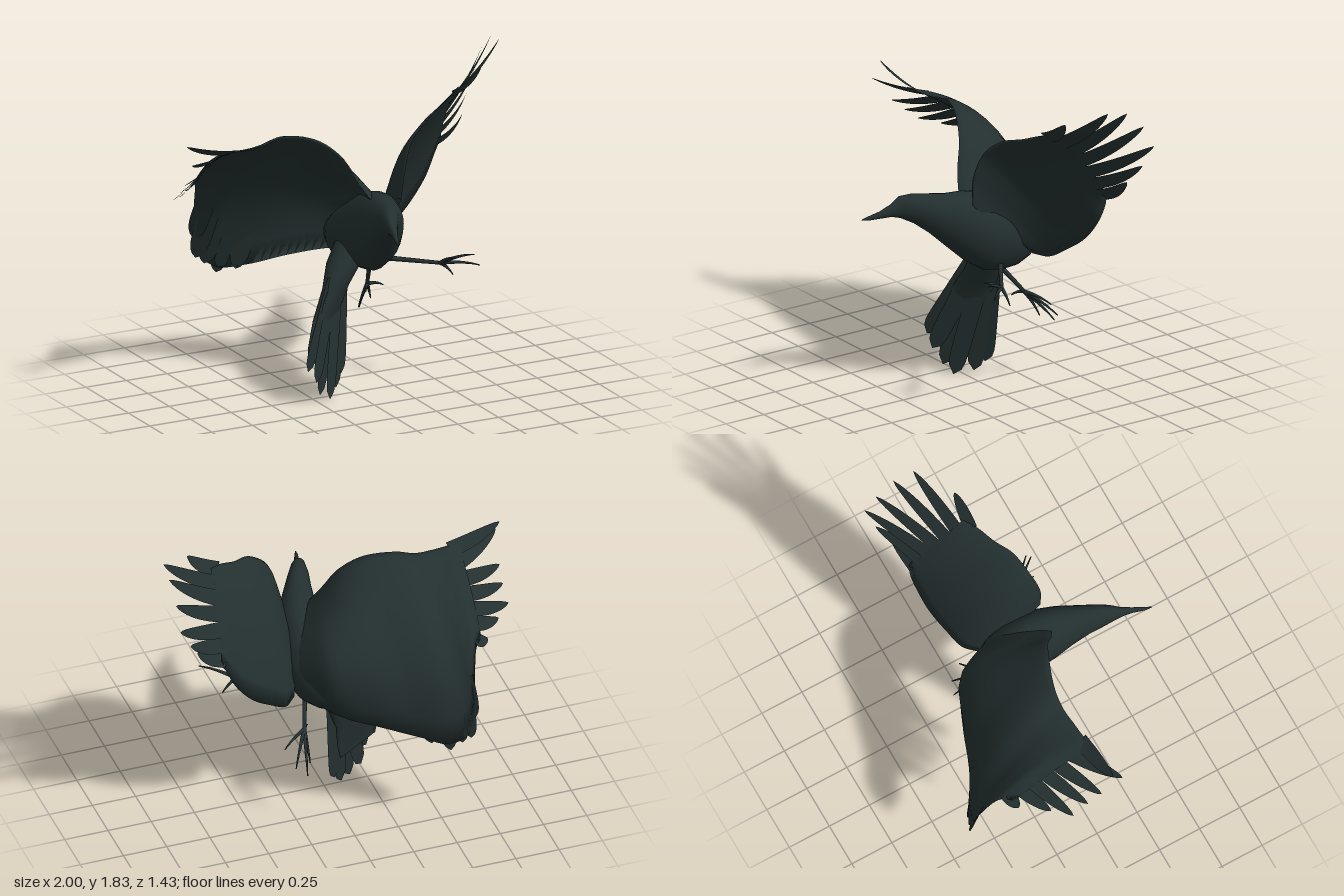
import * as THREE from 'three';

const V = (a) => new THREE.Vector3(...a);
const plumage = new THREE.MeshStandardMaterial({ color: 0x243030, side: THREE.DoubleSide });
plumage.name = 'dark plumage';

// Skin a list of rings (or open strips) of equal length
function loft(name, rings, closed = true) {
  const n = rings[0].length, index = [];
  const pos = rings.flatMap((r) => r.flatMap((p) => [p.x, p.y, p.z]));
  for (let i = 0; i < rings.length - 1; i++) {
    for (let j = 0; j < (closed ? n : n - 1); j++) {
      const a = i * n + j, b = i * n + (j + 1) % n;
      index.push(a, b, a + n, b, b + n, a + n);
    }
  }
  const g = new THREE.BufferGeometry();
  g.setAttribute('position', new THREE.Float32BufferAttribute(pos, 3));
  g.setIndex(index);
  g.computeVertexNormals();
  const m = new THREE.Mesh(g, plumage);
  m.name = name;
  return m;
}

// Elliptical ring around c with half axes a and b
function ring(c, a, b, n = 24) {
  return Array.from({ length: n }, (_, i) => {
    const t = (i / n) * Math.PI * 2;
    return c.clone().addScaledVector(a, Math.cos(t)).addScaledVector(b, Math.sin(t));
  });
}

// Flat curved blade, pointed or rounded at the tip
function feather(name, base, tip, width, across, bend, roundness) {
  const axis = tip.clone().sub(base).normalize();
  const side = across.clone().addScaledVector(axis, -across.dot(axis)).normalize();
  const mid = base.clone().lerp(tip, 0.55).add(bend);
  const curve = new THREE.QuadraticBezierCurve3(base, mid, tip);
  const rows = [];
  for (let i = 0; i <= 14; i++) {
    const t = i / 14, p = curve.getPoint(t);
    const w = width * Math.pow(Math.max(0, 1 - Math.pow(t, roundness)), 0.7) + 0.0005;
    rows.push([-1, 0, 1].map((s) => p.clone().addScaledVector(side, s * w)));
  }
  return loft(name, rows, false);
}

// Cambered wing; each station is [leading point, trailing point, camber]
function wing(name, stations, dorsalRoot, dorsalEnd, thickness, tips, bend, ragged) {
  const group = new THREE.Group();
  group.name = name;
  const lead = new THREE.CatmullRomCurve3(stations.map((s) => V(s[0])));
  const trail = new THREE.CatmullRomCurve3(stations.map((s) => V(s[1])));
  const at = (u, t, thick = 0) => {
    const k = u * (stations.length - 1), i = Math.min(Math.floor(k), stations.length - 2);
    const camber = THREE.MathUtils.lerp(stations[i][2], stations[i + 1][2], k - i);
    const d = V(dorsalRoot).lerp(V(dorsalEnd), Math.min(1, u * 2)).normalize();
    return lead.getPoint(u).lerp(trail.getPoint(u), t)
      .addScaledVector(d, camber * 4 * t * (1 - t) + thick * Math.sqrt(t) * (1 - t));
  };
  const rings = [], n = 12;
  for (let i = 0; i <= 36; i++) {
    const u = i / 36, th = thickness * (1 - u) + 0.012, loop = [];
    for (let j = 0; j < n; j++) loop.push(at(u, (j / n) ** 1.5, th));
    for (let j = n; j > 0; j--) loop.push(at(u, (j / n) ** 1.5, -0.5 * th));
    rings.push(loop);
  }
  group.add(loft('wingSurface', rings));
  // Long spread feathers at the wing end
  tips.forEach((tip, i) => {
    const f = 0.04 + 0.86 * i / (tips.length - 1);
    const across = at(1, 1).sub(at(1, 0));
    group.add(feather('primaryFeather', at(0.88, f), V(tip), 0.045, across, V(bend), 2.1));
  });
  // Ragged trailing edge
  ragged.forEach((u, i) => {
    const base = at(u, 0.75), end = at(u, 1);
    const tip = end.clone().add(end.clone().sub(base).setLength(0.015 + 0.02 * (i % 2)));
    const across = at(u + 0.05, 1).sub(at(u - 0.05, 1));
    group.add(feather('secondaryFeather', base, tip, 0.055, across, V([0, 0, 0]), 5));
  });
  return group;
}

// Thin leg with tapering toes
function leg(name, hip, ankle, toes) {
  const group = new THREE.Group();
  group.name = name;
  const limb = (part, a, b, r0, r1, lift) => {
    const mid = a.clone().lerp(b, 0.6).add(V([0, lift, 0]));
    const curve = new THREE.QuadraticBezierCurve3(a, mid, b);
    const dir = b.clone().sub(a).normalize();
    const s = new THREE.Vector3(0.3, 0.2, 0.9).cross(dir).normalize();
    const q = dir.clone().cross(s);
    const rings = [];
    for (let i = 0; i <= 8; i++) {
      const r = r0 + (r1 - r0) * i / 8;
      rings.push(ring(curve.getPoint(i / 8), s.clone().multiplyScalar(r), q.clone().multiplyScalar(r), 8));
    }
    group.add(loft(part, rings));
  };
  limb('shank', V(hip), V(ankle), 0.015, 0.01, 0);
  toes.forEach((t) => limb('toe', V(ankle), V(t), 0.012, 0.003, 0.02));
  return group;
}

export function createModel() {
  const bird = new THREE.Group();
  bird.name = 'flyingBird';

  // Beak, head and body: z, x, y, half width, half height
  const sections = [
    [0.71, -0.09, 1.065, 0.003, 0.003], [0.67, -0.08, 1.07, 0.01, 0.012],
    [0.61, -0.06, 1.083, 0.015, 0.021], [0.55, -0.043, 1.1, 0.026, 0.035],
    [0.5, -0.028, 1.115, 0.043, 0.063], [0.43, -0.003, 1.1, 0.064, 0.085],
    [0.35, 0.03, 1.065, 0.083, 0.113], [0.25, 0.068, 1.012, 0.112, 0.158],
    [0.15, 0.092, 0.965, 0.137, 0.205], [0.05, 0.107, 0.925, 0.146, 0.228],
    [-0.05, 0.11, 0.9, 0.143, 0.22], [-0.15, 0.1, 0.87, 0.135, 0.19],
    [-0.25, 0.07, 0.84, 0.11, 0.14], [-0.33, 0.05, 0.83, 0.06, 0.08],
    [-0.36, 0.05, 0.83, 0.001, 0.001],
  ];
  bird.add(loft('headAndBody', sections.map(([z, x, y, rx, ry]) =>
    ring(V([x, y, z]), V([rx, 0, 0]), V([0, ry, 0])))));

  // Tail root and fanned tail feathers
  const across = V([0.84, 0, -0.54]), through = V([0.54, 0, 0.84]);
  const root = [
    [0.06, 0.84, -0.12, 0.09, 0.09], [-0.01, 0.72, -0.09, 0.115, 0.09],
    [-0.07, 0.6, -0.07, 0.105, 0.06], [-0.145, 0.45, -0.04, 0.135, 0.035],
    [-0.18, 0.32, -0.01, 0.165, 0.015], [-0.19, 0.22, 0, 0.15, 0.003],
  ];
  bird.add(loft('tailRoot', root.map(([x, y, z, a, b]) =>
    ring(V([x, y, z]), across.clone().multiplyScalar(a), through.clone().multiplyScalar(b)))));
  const tailTips = [[-0.335, 0.2, 0.11], [-0.29, 0.13, 0.1], [-0.24, 0.04, 0.07],
    [-0.175, 0.0, 0.04], [-0.09, 0.03, -0.03], [-0.045, 0.09, -0.08]];
  tailTips.forEach((t, i) => {
    const base = V([-0.06, 0.65, -0.07]).addScaledVector(across, (i - 2.5) * 0.024);
    bird.add(feather('tailFeather', base, V(t).addScaledVector(through, (i % 2) * 0.012),
      0.052, across, V([0, 0, 0]), 14));
  });

  // Right wing, swept down and back
  bird.add(wing('rightWing', [
    [[0.06, 1.1, 0.17], [0.17, 0.75, -0.21], 0.1],
    [[-0.03, 1.24, 0.12], [0.02, 0.71, -0.38], 0.2],
    [[-0.1, 1.38, 0.06], [-0.16, 0.67, -0.48], 0.17],
    [[-0.22, 1.48, 0.0], [-0.35, 0.62, -0.57], 0.13],
    [[-0.39, 1.51, -0.06], [-0.49, 0.6, -0.66], 0.12],
    [[-0.5, 1.48, -0.07], [-0.59, 0.68, -0.7], 0.1],
    [[-0.6, 1.47, -0.06], [-0.63, 0.9, -0.67], 0.08],
    [[-0.7, 1.47, -0.05], [-0.68, 1.13, -0.56], 0.05],
    [[-0.76, 1.47, -0.04], [-0.73, 1.15, -0.5], 0.03],
  ], [0.55, 0.45, -0.7], [0, 0.5, -0.86], 0.16, [
    [-1, 1.55, -0.04], [-1, 1.46, 0.02], [-0.98, 1.31, -0.1], [-0.97, 1.24, -0.18],
    [-0.97, 1.17, -0.27], [-0.88, 1.15, -0.36], [-0.77, 1.13, -0.5],
  ], [0, -0.03, 0], [0.42, 0.5, 0.57, 0.63, 0.69]));

  // Left wing, raised
  const leftDorsal = [-0.5, 0.4, -0.7];
  bird.add(wing('leftWing', [
    [[0.2, 1.13, 0.18], [0.24, 0.78, -0.19], 0.02],
    [[0.22, 1.29, 0.19], [0.31, 0.77, -0.25], 0.04],
    [[0.28, 1.45, 0.16], [0.41, 0.83, -0.29], 0.05],
    [[0.4, 1.55, 0.12], [0.53, 0.92, -0.33], 0.05],
    [[0.5, 1.58, 0.06], [0.63, 1.04, -0.35], 0.04],
    [[0.6, 1.62, 0.01], [0.69, 1.16, -0.36], 0.03],
    [[0.67, 1.64, -0.04], [0.72, 1.24, -0.35], 0.02],
  ], leftDorsal, leftDorsal, 0.07, [
    [0.8, 1.74, -0.02], [0.99, 1.83, -0.17], [1, 1.81, -0.29], [1, 1.71, -0.4],
    [1, 1.58, -0.47], [0.93, 1.45, -0.44], [0.87, 1.35, -0.38],
  ], [0.02, -0.03, 0.01], []));

  // Legs and feet
  bird.add(leg('leftLeg', [0.18, 0.74, -0.02], [0.45, 0.72, 0.16],
    [[0.57, 0.8, 0.33], [0.61, 0.73, 0.32], [0.53, 0.64, 0.16], [0.47, 0.78, 0.29]]));
  bird.add(leg('rightLeg', [0.12, 0.73, -0.03], [0.18, 0.54, -0.18],
    [[0.22, 0.35, -0.35], [0.28, 0.4, -0.33], [0.32, 0.49, -0.26], [0.18, 0.38, -0.28], [0.14, 0.52, -0.12]]));

  return bird;
}
